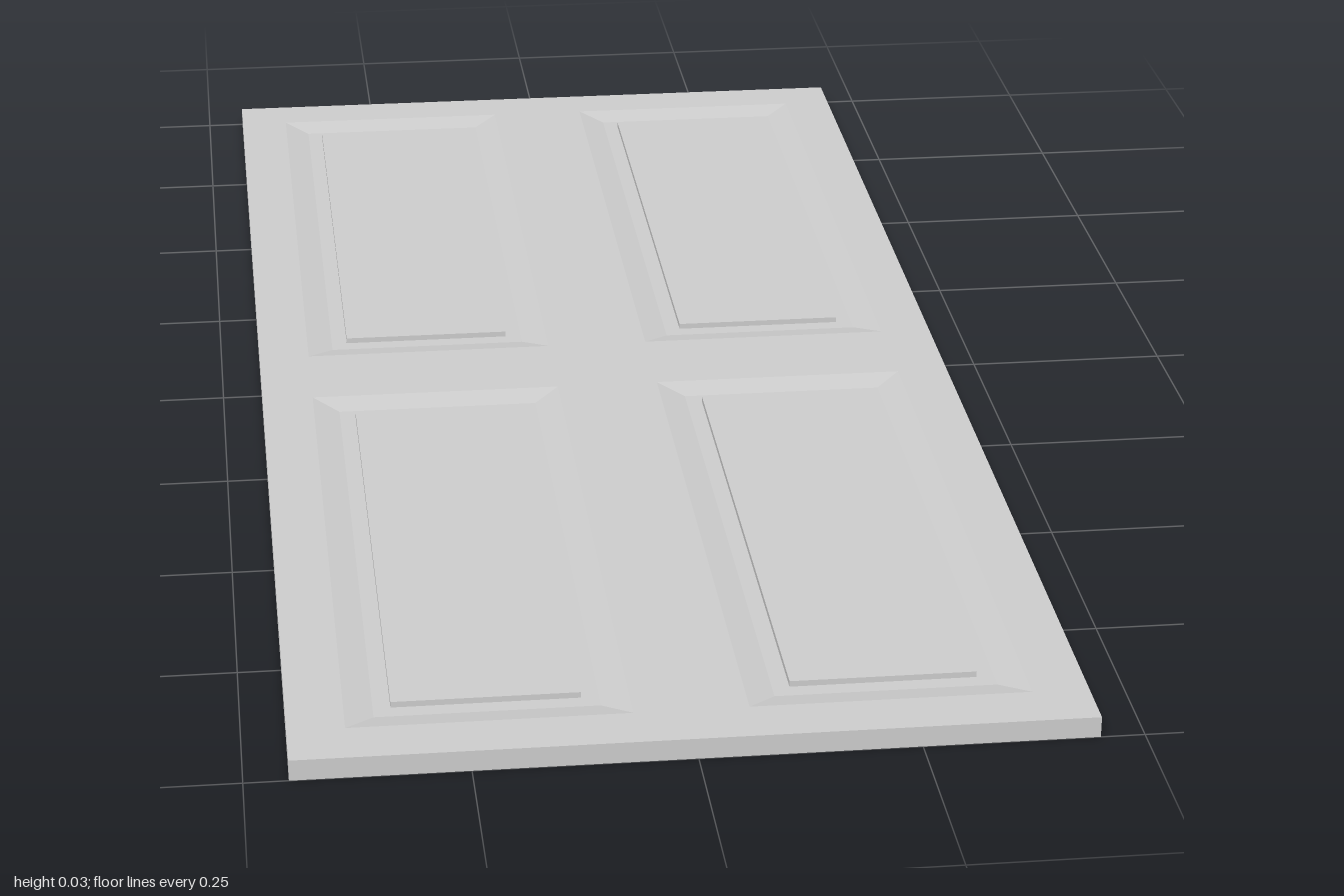
import * as THREE from 'three';

const W = 0.9, L = 2, T = 0.025;      // slab size
const PANEL_X = 0.225, PANEL_Z = 0.5; // panel centres
const HALF_X = 0.16, HALF_Z = 0.435;  // half size of each panel opening
const DEPTH = 0.007;                  // depth of the groove around a panel

const material = new THREE.MeshStandardMaterial({ color: 0xcccccc, flatShading: true });

// Skin between successive rectangles [halfX, halfZ, y], optionally closing the last one
function loftRects(rects, cap) {
  const corners = [[1, 1], [1, -1], [-1, -1], [-1, 1]];
  const point = ([hx, hz, y], i) => [corners[i % 4][0] * hx, y, corners[i % 4][1] * hz];
  const pos = [];
  const quad = (a, b, c, d) => pos.push(...a, ...b, ...c, ...a, ...c, ...d);
  for (let r = 0; r < rects.length - 1; r++) {
    for (let i = 0; i < 4; i++) {
      quad(point(rects[r], i), point(rects[r], i + 1), point(rects[r + 1], i + 1), point(rects[r + 1], i));
    }
  }
  if (cap) quad(...[0, 1, 2, 3].map((i) => point(rects[rects.length - 1], i)));
  const geo = new THREE.BufferGeometry();
  geo.setAttribute('position', new THREE.Float32BufferAttribute(pos, 3));
  geo.computeVertexNormals();
  return geo;
}

function rectPath(path, cx, cy, hx, hy) {
  path.moveTo(cx - hx, cy - hy);
  path.lineTo(cx + hx, cy - hy);
  path.lineTo(cx + hx, cy + hy);
  path.lineTo(cx - hx, cy + hy);
  path.closePath();
  return path;
}

function mesh(name, geometry) {
  const m = new THREE.Mesh(geometry, material);
  m.name = name;
  return m;
}

// One side of the door: flat stiles and rails with four raised panels
function createFace(name) {
  const face = new THREE.Group();
  face.name = name;

  const shape = rectPath(new THREE.Shape(), 0, 0, W / 2, L / 2);
  const top = T / 2;
  const inset = (d, y) => [HALF_X - d, HALF_Z - d, y];
  // sloped moulding, flat groove, then the step up to the panel
  const panelGeo = loftRects([
    inset(0, top),
    inset(0.033, top - DEPTH),
    inset(0.053, top - DEPTH),
    inset(0.053, top),
  ], true);

  for (const sx of [-1, 1]) {
    for (const sz of [-1, 1]) {
      shape.holes.push(rectPath(new THREE.Path(), sx * PANEL_X, sz * PANEL_Z, HALF_X, HALF_Z));
      const panel = mesh('raisedPanel', panelGeo);
      panel.position.set(sx * PANEL_X, 0, sz * PANEL_Z);
      face.add(panel);
    }
  }

  const frame = new THREE.ShapeGeometry(shape);
  frame.rotateX(-Math.PI / 2);
  frame.translate(0, top, 0);
  face.add(mesh('stilesAndRails', frame));
  face.position.y = T / 2;
  return face;
}

export function createModel() {
  const door = new THREE.Group();
  door.name = 'panelDoor';

  const upper = createFace('upperFace');
  const lower = createFace('lowerFace');
  lower.rotation.z = Math.PI;
  door.add(upper, lower);

  // Outer edge of the slab
  door.add(mesh('doorEdge', loftRects([[W / 2, L / 2, 0], [W / 2, L / 2, T]], false)));
  return door;
}
